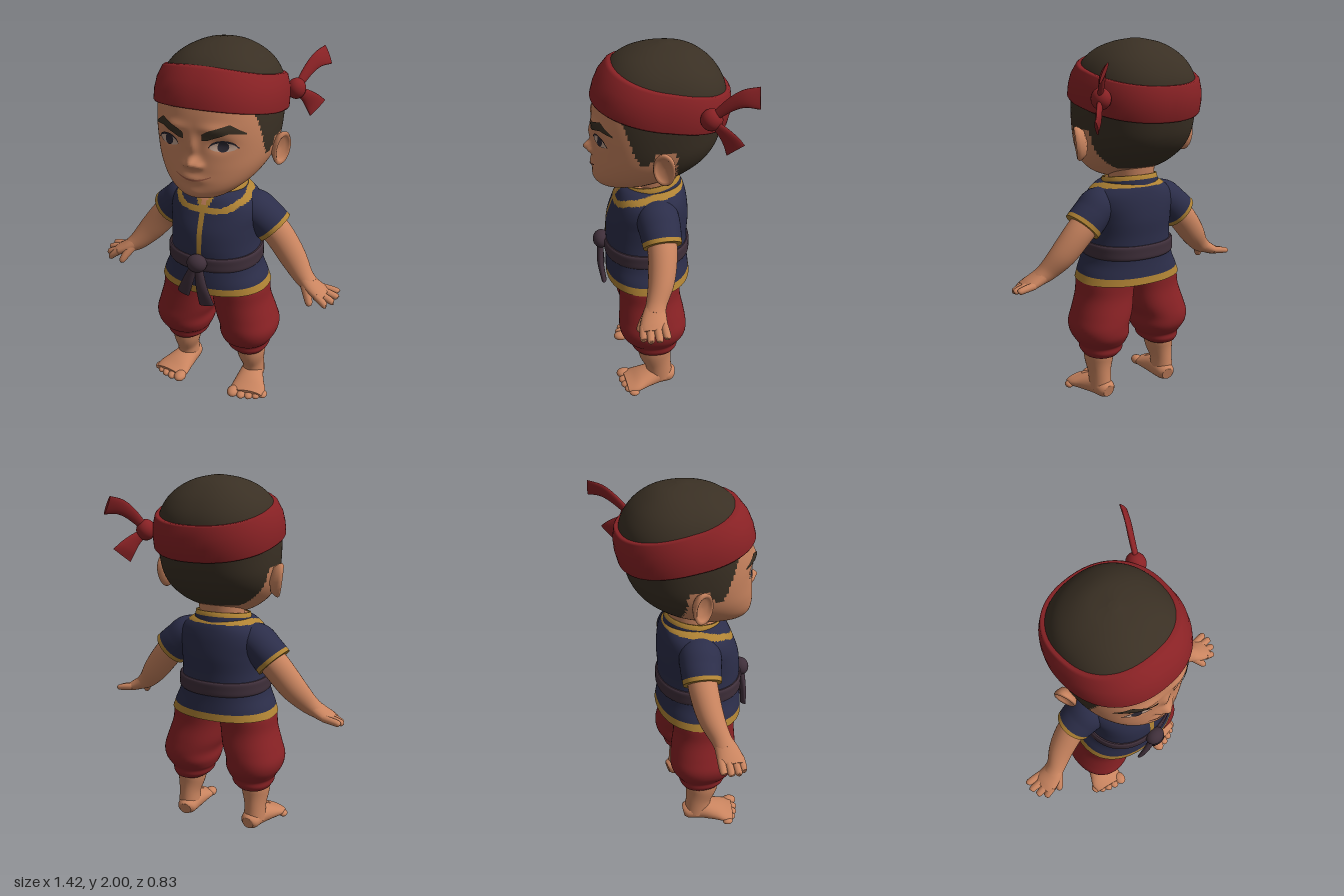
import * as THREE from 'three';

const mat = (name, color, side = THREE.FrontSide) => {
  const m = new THREE.MeshStandardMaterial({ color, side });
  m.name = name;
  return m;
};
const skin = mat('skin', 0xc9845f), hair = mat('hair', 0x3a3024), red = mat('red cloth', 0x8a2225, THREE.DoubleSide);
const navy = mat('navy cloth', 0x2c2e4a, THREE.DoubleSide), gold = mat('gold trim', 0xb08334, THREE.DoubleSide);
const sashMat = mat('sash cloth', 0x3f2f3a), white = mat('eye white', 0xc0a08e), dark = mat('iris', 0x2a2630), lip = mat('lip', 0x9c5a43);

const clamp = THREE.MathUtils.clamp, lerp = THREE.MathUtils.lerp, TAU = Math.PI * 2;
// piecewise linear lookup in [[key, value], ...]
function lin(tab, k) {
  for (let i = 1; i < tab.length; i++)
    if (k <= tab[i][0]) return lerp(tab[i - 1][1], tab[i][1], clamp((k - tab[i - 1][0]) / (tab[i][0] - tab[i - 1][0]), 0, 1));
  return tab[tab.length - 1][1];
}
// smooth interpolation between rows of numbers
function spline(rows, t) {
  const s = clamp(t, 0, 1) * (rows.length - 1), i = Math.min(Math.floor(s), rows.length - 2), f = s - i;
  const r = k => rows[clamp(k, 0, rows.length - 1)];
  return rows[0].map((_, c) => {
    const a = r(i - 1)[c], b = r(i)[c], d = r(i + 1)[c], e = r(i + 2)[c];
    return b + 0.5 * f * (d - a + f * (2 * a - 5 * b + 4 * d - e + f * (3 * (b - d) + e - a)));
  });
}
// surface grid; pick() chooses the material of each cell, -1 leaves a gap
function grid(name, nu, nv, f, mats, pick = () => 0, wrap = true) {
  const pos = [], cols = wrap ? nu : nu + 1, buckets = mats.map(() => []);
  for (let j = 0; j <= nv; j++) for (let i = 0; i < cols; i++) pos.push(...f(i / nu, j));
  for (let j = 0; j < nv; j++) for (let i = 0; i < nu; i++) {
    const a = j * cols + i, b = j * cols + (i + 1) % cols, c = b + cols, d = a + cols;
    const mid = k => (pos[a * 3 + k] + pos[c * 3 + k]) / 2;
    const m = pick(mid(0), mid(1), mid(2), j);
    if (m >= 0) buckets[m].push(a, b, c, a, c, d);
  }
  const g = new THREE.BufferGeometry();
  g.setAttribute('position', new THREE.Float32BufferAttribute(pos, 3));
  g.setIndex(buckets.flat());
  let start = 0;
  buckets.forEach((b, k) => { g.addGroup(start, b.length, k); start += b.length; });
  g.computeVertexNormals();
  const mesh = new THREE.Mesh(g, mats.length > 1 ? mats : mats[0]);
  mesh.name = name;
  return mesh;
}
const sup = (v, n) => Math.sign(v) * Math.abs(v) ** (2 / n);
// capped upright body from rows [y, centreX, radiusX, frontZ, backZ]
function loft(name, rows, mats, pick, { n = 2.2, nu = 48, nv = 40, d = 0 } = {}) {
  return grid(name, nu, nv, (u, j) => {
    const [y, cx, rx, zf, zb] = spline(rows, (j - 2) / (nv - 4)), k = j === 0 || j === nv ? 0 : 1;
    const a = u * TAU;
    return [cx + k * (rx + d) * sup(Math.sin(a), n), y, (zf + zb) / 2 + k * ((zf - zb) / 2 + d) * sup(Math.cos(a), n)];
  }, mats, pick);
}
// capped limb along rows [x, y, z, radius along ref, other radius]
function sweep(name, rows, ref, mats, { nu = 20, nv = 28, pick, floor = -9 } = {}) {
  const R = new THREE.Vector3(...ref), at = t => spline(rows, t);
  return grid(name, nu, nv, (u, j) => {
    const t = clamp((j - 2) / (nv - 4), 0, 1), p = at(t), k = j === 0 || j === nv ? 0 : 1;
    const T = new THREE.Vector3(...at(t + 0.01)).sub(new THREE.Vector3(...at(t - 0.01))).normalize();
    const N = R.clone().addScaledVector(T, -R.dot(T)).normalize(), B = N.clone().cross(T);
    const q = new THREE.Vector3(...p).addScaledVector(N, k * p[3] * Math.sin(u * TAU)).addScaledVector(B, k * p[4] * Math.cos(u * TAU));
    return [q.x, Math.max(q.y, floor), q.z];
  }, mats, pick && ((x, y, z, j) => pick((j - 1.5) / (nv - 4))));
}
function ball(name, m, x, y, z, sx, sy = sx, sz = sx) {
  const b = new THREE.Mesh(new THREE.SphereGeometry(1, 20, 14), m);
  b.position.set(x, y, z);
  b.scale.set(sx, sy, sz);
  b.name = name;
  return b;
}

// head shape: [y, radiusX, frontZ, backZ]
const headRows = [[1.248, .07, .31, .1], [1.265, .125, .35, .04], [1.3, .18, .37, -.03], [1.35, .235, .376, -.13],
  [1.42, .28, .373, -.22], [1.5, .305, .368, -.275], [1.6, .315, .37, -.305], [1.7, .315, .36, -.322],
  [1.8, .303, .332, -.31], [1.88, .265, .29, -.265], [1.94, .2, .225, -.2], [1.98, .115, .13, -.125], [2, .02, .02, -.02]];
const HN = 2.25;
function headRow(y) {
  let a = 0, b = 1;
  for (let i = 0; i < 24; i++) { const m = (a + b) / 2; if (spline(headRows, m)[0] < y) a = m; else b = m; }
  return spline(headRows, a);
}
// facial relief: [x, y, spreadX, spreadY, height], mirrored
const relief = [[0, 1.46, .032, .028, .048], [0, 1.54, .025, .05, .018], [.04, 1.447, .018, .016, .016], [.14, 1.555, .05, .03, -.018],
  [.11, 1.635, .07, .025, .012], [0, 1.375, .06, .022, .01], [0, 1.29, .06, .03, .008]];
const bump = (x, y) => relief.reduce((s, [cx, cy, sx, sy, h]) =>
  s + h * Math.exp(-(((Math.abs(x) - cx) / sx) ** 2) - ((y - cy) / sy) ** 2), 0);
function faceZ(x, y) {
  const [, rx, zf, zb] = headRow(y);
  return (zf + zb) / 2 + (zf - zb) / 2 * Math.max(0, 1 - Math.abs(x / rx) ** HN) ** (1 / HN) + bump(x, y);
}
// thin painted detail lying on the face
const patch = (name, x0, x1, lo, hi, m, d = .004) => grid(name, 20, 4, (u, j) => {
  const x = lerp(x0, x1, u), y = lerp(lo(x), hi(x), j / 4);
  return [x, y, faceZ(x, y) + d];
}, [m], () => 0, false);

function buildHead() {
  const g = new THREE.Group();
  g.name = 'head';
  const hairline = [[-.4, 1.33], [-.05, 1.33], [-.04, 1.54], [.07, 1.54], [.09, 1.48], [.14, 1.47], [.17, 1.54], [.22, 1.68], [.25, 1.75], [.45, 1.85]];
  const nv = 130;
  g.add(grid('headAndHair', 150, nv, (u, j) => {
    const [y, rx, zf, zb] = spline(headRows, (j - 1) / (nv - 2)), k = j === 0 || j === nv ? 0 : 1;
    const a = u * TAU - .5 * Math.sin(u * TAU), c = Math.cos(a), x = k * rx * sup(Math.sin(a), HN);
    return [x, y, (zf + zb) / 2 + k * (zf - zb) / 2 * sup(c, HN) + (c > 0 ? k * bump(x, y) * Math.min(1, c * 4) : 0)];
  }, [skin, hair], (x, y, z) => y > lin(hairline, z) ? 1 : 0));

  // headband, tilted down towards the back
  const prof = [[-1, -.015], [-1, .016], [-.9, .022], [-.3, .024], [.3, .024], [.9, .021], [1, .015], [1, -.02]];
  g.add(grid('headband', 96, prof.length - 1, (u, j) => {
    const a = u * TAU, [k, d] = prof[j], y = 1.75 + .2 * (.02 + .345 * Math.cos(a)) + k * .092;
    const [, rx, zf, zb] = headRow(y);
    return [(rx + d) * sup(Math.sin(a), HN), y, (zf + zb) / 2 + ((zf - zb) / 2 + d) * sup(Math.cos(a), HN)];
  }, [red]));
  g.add(ball('headbandKnot', red, .325, 1.72, -.2, .05, .055, .055));
  g.add(sweep('headbandTailUp', [[.33, 1.73, -.2, .02, .014], [.365, 1.81, -.28, .032, .014], [.395, 1.85, -.34, .042, .012], [.425, 1.862, -.405, .052, .008]], [-.5, .8, .2], [red]));
  g.add(sweep('headbandTailDown', [[.33, 1.71, -.2, .02, .014], [.365, 1.67, -.25, .035, .014], [.39, 1.63, -.285, .05, .012], [.412, 1.595, -.305, .06, .008]], [.5, .3, -.6], [red]));

  for (const s of [1, -1]) {
    // ear: shallow dish facing outward and a little forward
    const dish = [[0, -.8], [.7, -.5], [.95, .1], [1, .45], [.9, .65], [.75, .5], [.55, .15], [0, .1]];
    const ear = new THREE.LatheGeometry(dish.map(p => new THREE.Vector2(...p)), 28);
    ear.rotateZ(-s * Math.PI / 2).scale(.045, .092, .058).rotateY(-s * .4).rotateZ(-s * .12);
    const e = new THREE.Mesh(ear, skin);
    e.position.set(s * .322, 1.47, .02);
    e.name = 'ear';
    g.add(e);
    const span = (c, w) => [s * c - w, s * c + w];
    // brow, eye, iris and upper lash
    const browY = x => lin([[.05, 1.595], [.1, 1.615], [.18, 1.642], [.245, 1.612]], Math.abs(x));
    const browH = x => lin([[.05, .016], [.08, .024], [.18, .022], [.245, .004]], Math.abs(x));
    g.add(patch('brow', ...span(.1475, .0975), x => browY(x) - browH(x), x => browY(x) + browH(x), hair, .006));
    const oval = (x, c, w) => Math.sqrt(Math.max(0, 1 - ((Math.abs(x) - c) / w) ** 2));
    const lid = x => 1.545 + .028 * oval(x, .147, .062);
    g.add(patch('eye', ...span(.147, .062), x => 1.545 - .02 * oval(x, .147, .062), lid, white));
    g.add(patch('iris', ...span(.147, .027), x => 1.549 - .025 * oval(x, .147, .027), x => 1.549 + .024 * oval(x, .147, .027), dark, .006));
    g.add(patch('lash', ...span(.15, .07), x => lid(x) - .003, x => lid(x) + .01 * oval(x, .15, .07), dark, .007));
  }
  const smile = x => 1.372 + .018 * (x / .09) ** 2;
  g.add(patch('mouth', -.095, .095, x => smile(x) - .006 * (1 - (x / .1) ** 2), x => smile(x) + .004, lip));
  return g;
}

function buildTorso() {
  const g = new THREE.Group();
  g.name = 'torso';
  const rows = [[.685, 0, .308, .328, -.145], [.74, 0, .288, .328, -.138], [.8, 0, .262, .325, -.132], [.87, 0, .248, .32, -.13],
    [.95, 0, .24, .322, -.13], [1.04, 0, .243, .312, -.135], [1.12, 0, .25, .285, -.13], [1.18, 0, .232, .26, -.12], [1.225, 0, .18, .235, -.105], [1.25, 0, .13, .19, -.08]];
  const neckline = [[-.12, 1.225], [.07, 1.21], [.2, 1.18], [.25, 1.15], [.3, 1.14]];
  // jacket with hem, neckline, front edge and bare throat
  g.add(loft('jacket', rows, [navy, gold, skin], (x, y, z) => {
    const w = Math.abs(x), line = lin(neckline, z);
    if (y < .727) return 1;
    if (z > .1 && y > 1.14) {
      if (w < (y - 1.17) * .5) return 2;
      if (w < (y - 1.17) * .5 + .024) return 1;
    }
    if (y > 1.246) return 2;
    if (z > .2 && y > .9 && y < 1.16 && w < .019) return 1;
    return y > line && y < line + .025 ? 1 : 0;
  }, { nu: 140, nv: 110 }));
  g.add(loft('neck', [[1.1, 0, .11, .16, -.06], [1.25, 0, .12, .17, -.075], [1.38, 0, .13, .16, -.09]], [skin], undefined, { nu: 32, nv: 12 }));
  // standing collar, open at the front
  const prof = [[.172, -.05], [.157, .015], [.157, .015], [.151, .04], [.14, .04], [.135, -.03]];
  g.add(grid('collar', 96, 5, (u, j) => {
    const [r, h] = prof[j], z = r * Math.cos(u * TAU);
    return [r * Math.sin(u * TAU), 1.225 - .145 * z + h, .065 + z];
  }, [navy, gold], (x, y, z, j) => z > .1 && Math.abs(x) < .035 ? -1 : j >= 2 ? 1 : 0));
  // waist sash, knot and hanging ends
  const sash = [.825, .835, .865, .895, .905].map((y, i) => [y, 0, .252 + (i % 4 ? .008 : 0), .325 + (i % 4 ? .008 : 0), -.134 - (i % 4 ? .008 : 0)]);
  g.add(loft('sash', sash, [sashMat], undefined, { nu: 64, nv: 16 }));
  g.add(ball('sashKnot', sashMat, 0, .88, .348, .056, .05, .046));
  g.add(sweep('sashEnd', [[-.01, .87, .35, .02, .018], [-.05, .77, .352, .03, .016], [-.085, .68, .345, .036, .012]], [1, 0, 0], [sashMat]));
  g.add(sweep('sashEnd', [[.01, .87, .35, .02, .018], [.03, .75, .358, .032, .018], [.052, .635, .342, .045, .014]], [1, 0, 0], [sashMat]));
  return g;
}

function buildArm(s) {
  const g = new THREE.Group();
  g.name = s > 0 ? 'leftArm' : 'rightArm';
  const part = (name, rows, mats, o) => g.add(sweep(name, rows.map(([x, ...r]) => [s * x, ...r]), [0, 0, 1], mats, o));
  part('sleeve', [[.12, 1.165, .06, .09, .06], [.2, 1.12, .05, .112, .1], [.26, 1.07, .04, .11, .102], [.318, 1.013, .033, .102, .106]],
    [navy, gold], { nu: 36, nv: 44, pick: t => t > .87 ? 1 : 0 });
  part('arm', [[.24, 1.08, .04, .08, .08], [.335, .985, .035, .078, .08], [.425, .875, .05, .07, .074], [.5, .79, .082, .055, .056], [.55, .752, .098, .055, .042]], [skin], { nu: 28 });
  part('palm', [[.51, .78, .088, .05, .045], [.56, .747, .1, .064, .038], [.61, .722, .107, .07, .03], [.64, .71, .109, .06, .022]], [skin]);
  [[.695, .712, .045], [.703, .702, .085], [.692, .69, .128], [.662, .68, .163]].forEach(([x, y, z], i) => {
    const bz = .055 + i * .035;
    part('finger', [[.6, .725, bz, .02, .02], [lerp(.6, x, .6), lerp(.727, y, .6), lerp(bz, z, .6), .021, .019], [x - .006, y, z, .018, .016], [x, y - .002, z, .009, .008]], [skin], { nu: 12, nv: 14 });
  });
  part('thumb', [[.53, .76, .12, .03, .03], [.555, .715, .155, .024, .024], [.572, .68, .175, .02, .018], [.578, .668, .18, .008, .008]], [skin], { nu: 12, nv: 16 });
  return g;
}

function buildLeg(s) {
  const g = new THREE.Group();
  g.name = s > 0 ? 'leftLeg' : 'rightLeg';
  const rows = [[.25, .2, .092, .18, -.045], [.275, .193, .115, .2, -.06], [.305, .19, .122, .205, -.062], [.33, .19, .138, .235, -.08], [.375, .195, .158, .26, -.105],
    [.43, .198, .163, .27, -.11], [.5, .176, .166, .266, -.1], [.6, .152, .16, .262, -.08], [.7, .138, .162, .262, -.08], [.78, .12, .13, .24, -.07]];
  g.add(loft('trouserLeg', rows.map(([y, x, ...r]) => [y, s * x, ...r]), [red], undefined, { nu: 44, nv: 48 }));
  const part = (name, r, ref, o) => g.add(sweep(name, r.map(([x, ...q]) => [s * x, ...q]), ref, [skin], o));
  part('shin', [[.2, .32, .07, .085, .1], [.207, .22, .068, .08, .096], [.213, .13, .05, .062, .076], [.213, .04, .04, .062, .074]], [1, 0, 0], { nu: 28 });
  part('foot', [[.203, .04, -.04, .035, .035], [.206, .045, -.015, .055, .048], [.212, .05, .06, .066, .06], [.228, .04, .14, .085, .05], [.242, .03, .2, .1, .036], [.25, .026, .245, .088, .026]],
    [1, 0, 0], { nu: 28, floor: .004 });
  [[.172, .265, .034], [.222, .262, .026], [.264, .25, .025], [.302, .232, .024], [.335, .208, .023]].forEach(([x, z, r]) =>
    g.add(ball('toe', skin, s * x, r * .8, z - r * .4, r, r * .8, r * 1.3)));
  return g;
}

export function createModel() {
  const model = new THREE.Group();
  model.name = 'figure';
  model.add(buildHead(), buildTorso());
  for (const s of [1, -1]) model.add(buildArm(s), buildLeg(s));
  return model;
}
